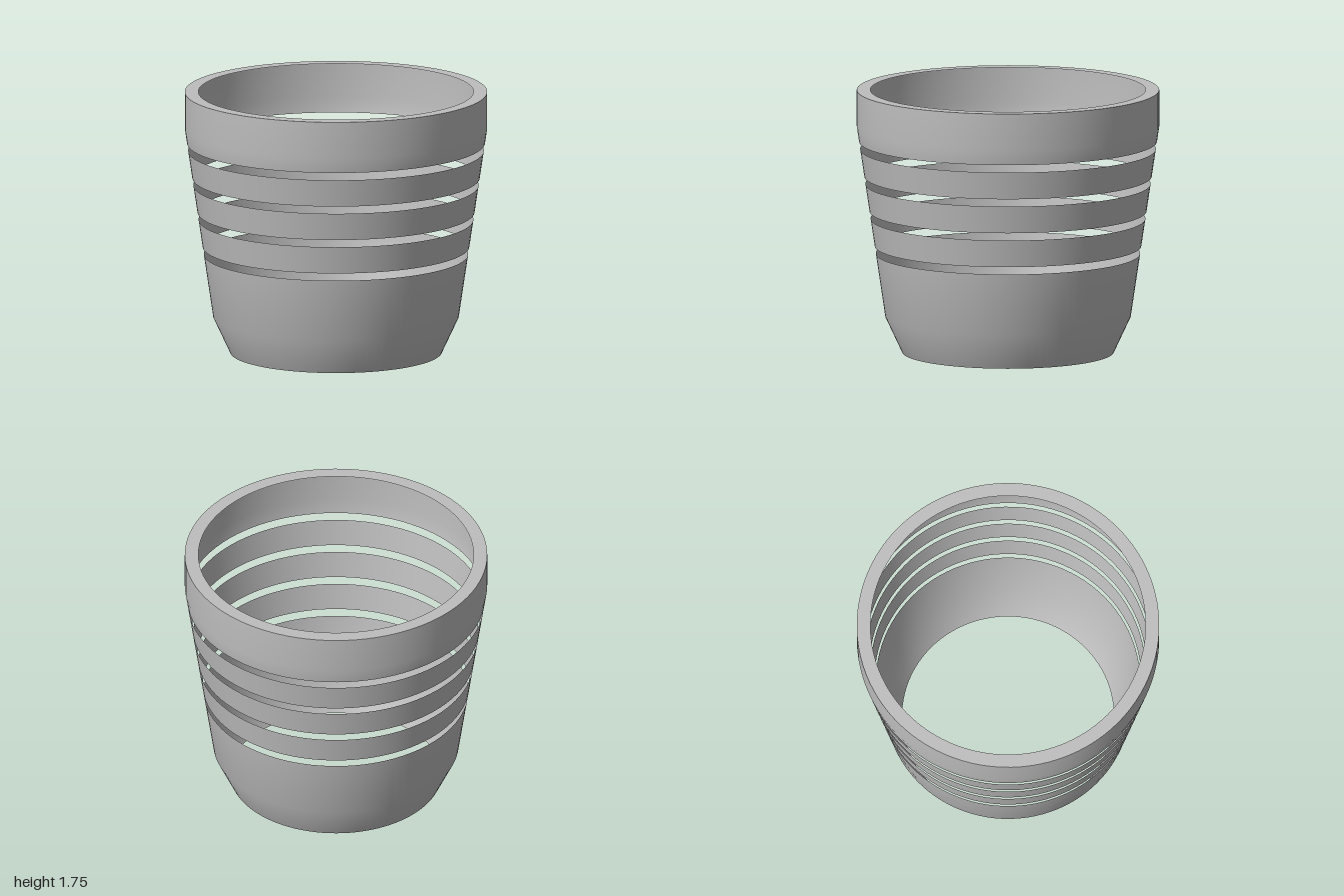
import * as THREE from 'three';

const SEGMENTS = 96;

export function createModel() {
  const group = new THREE.Group();
  group.name = 'slottedPot';

  const grey = new THREE.MeshStandardMaterial({ color: 0xbebebe, side: THREE.DoubleSide });
  grey.name = 'grey';

  // Radius of the tapered wall at height y
  const wall = (y) => 0.812 + (y - 0.24) * (0.188 / 1.27);

  // Thin shell turned from [radius, height] pairs, bottom to top
  const shell = (name, profile) => {
    const points = profile.map(([r, y]) => new THREE.Vector2(r, y));
    const mesh = new THREE.Mesh(new THREE.LatheGeometry(points, SEGMENTS), grey);
    mesh.name = name;
    group.add(mesh);
  };

  // Open base with a chamfered foot
  shell('base', [[0.70, 0], [0.812, 0.24], [wall(0.66), 0.66]]);

  // Three floating bands separated by narrow gaps
  for (let i = 0; i < 3; i++) {
    const y0 = 0.71 + i * 0.233;
    const y1 = y0 + 0.183;
    shell(`band${i + 1}`, [[wall(y0), y0], [wall(y1), y1]]);
  }

  // Upper collar, straight above the taper
  shell('collar', [[wall(1.41), 1.41], [1, 1.51], [1, 1.755]]);

  // Flat lip turned inward at the top
  shell('lip', [[1, 1.755], [0.91, 1.755]]);

  return group;
}
